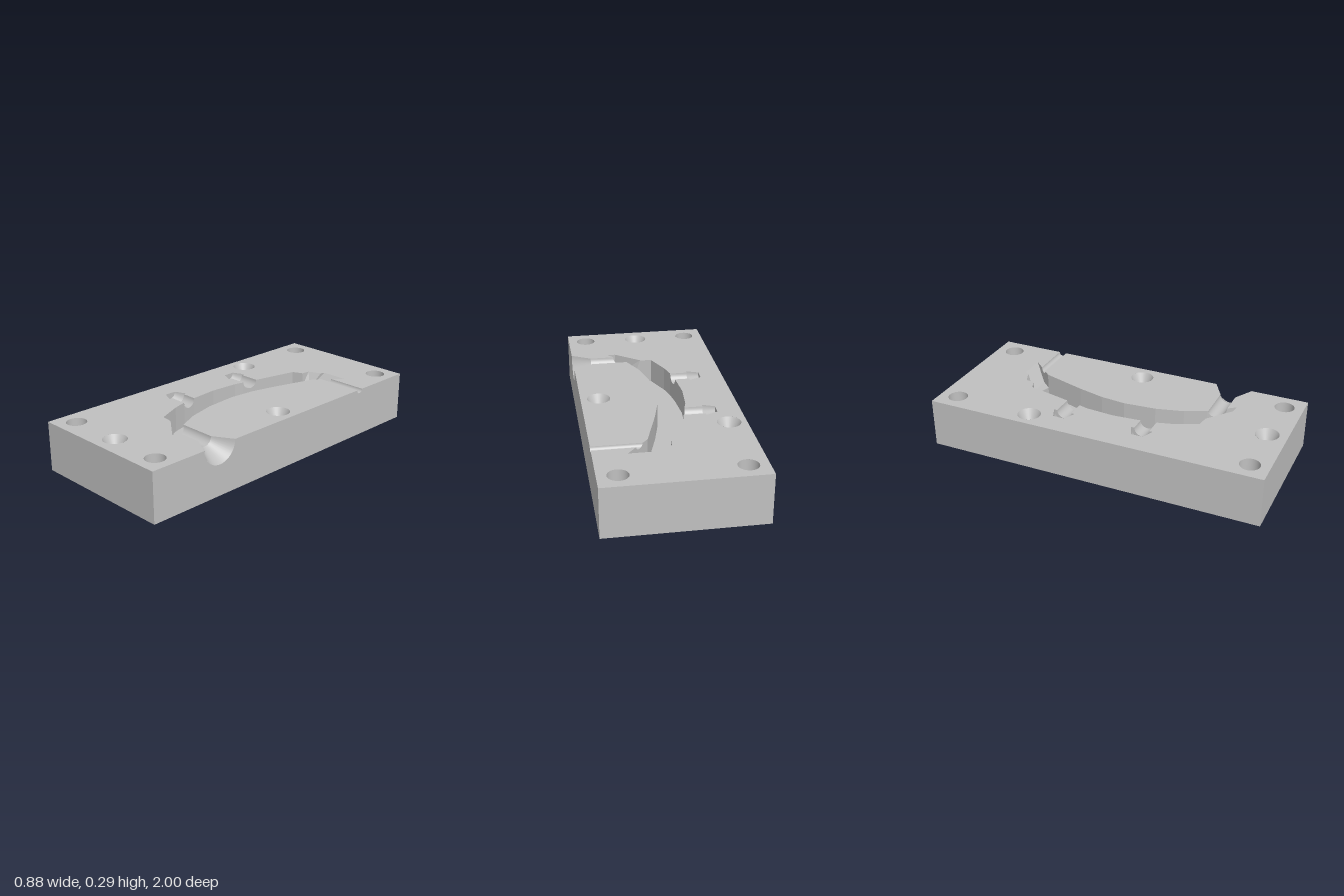
import * as THREE from 'three';

const H = 0.29, FLOOR = 0.145, SHELF = 0.2, W = 0.44;

export function createModel() {
  const group = new THREE.Group();
  const gray = new THREE.MeshStandardMaterial({ color: 0xc0c0c0, side: THREE.DoubleSide });
  gray.name = 'plain gray';

  const add = (geometry, name) => {
    const mesh = new THREE.Mesh(geometry, gray);
    mesh.name = name;
    group.add(mesh);
    return mesh;
  };

  // Horizontal plate from an [x, z] outline, with round holes [x, z, r]
  const plate = (name, outline, y, holes = [], up = true) => {
    const s = up ? -1 : 1;
    const shape = new THREE.Shape(outline.map(([x, z]) => new THREE.Vector2(x, s * z)));
    for (const [x, z, r] of holes) {
      shape.holes.push(new THREE.Path().absarc(x, s * z, r, 0, Math.PI * 2, true));
    }
    const geo = new THREE.ShapeGeometry(shape, 32);
    geo.rotateX(s * Math.PI / 2).translate(0, y, 0);
    add(geo, name);
  };

  // Vertical wall from a to b; notches [z, r] are half-round cuts in its top edge
  const wall = (name, a, b, y0, y1, notches = []) => {
    const dx = b[0] - a[0], dz = b[1] - a[1], len = Math.hypot(dx, dz), h = y1 - y0;
    const shape = new THREE.Shape();
    shape.moveTo(0, 0);
    shape.lineTo(len, 0);
    shape.lineTo(len, h);
    for (const [z, r] of notches) {
      shape.absellipse((z - a[1]) / dz * len, h, r * len / Math.abs(dz), r, 0, -Math.PI, true);
    }
    shape.lineTo(0, h);
    const mesh = add(new THREE.ShapeGeometry(shape, 20), name);
    mesh.position.set(a[0], y0, a[1]);
    mesh.rotation.y = -Math.atan2(dz, dx);
  };
  const walls = (name, pts, y0, notchAt = {}) => {
    for (let i = 0; i < pts.length - 1; i++) wall(name, pts[i], pts[i + 1], y0, H, notchAt[i]);
  };

  // Sloped polygon given as a fan of [x, y, z] corners
  const slope = (name, ...corners) => {
    const geo = new THREE.BufferGeometry();
    const tris = [];
    for (let i = 1; i < corners.length - 1; i++) tris.push(...corners[0], ...corners[i], ...corners[i + 1]);
    geo.setAttribute('position', new THREE.Float32BufferAttribute(tris, 3));
    geo.computeVertexNormals();
    add(geo, name);
  };

  // Half-round trough along x; sections are [x, radius, slant of the end]
  const trough = (name, zc, sections) => {
    const N = 20;
    for (let s = 0; s < sections.length - 1; s++) {
      const pos = [], idx = [];
      for (const [x, r, slant = 0] of [sections[s], sections[s + 1]]) {
        for (let j = 0; j <= N; j++) {
          const t = Math.PI * j / N;
          pos.push(x + slant * Math.cos(t), H - r * Math.sin(t), zc + r * Math.cos(t));
        }
      }
      for (let j = 0; j < N; j++) {
        const k = j + N + 1;
        idx.push(j, k, j + 1, k, k + 1, j + 1);
      }
      const geo = new THREE.BufferGeometry();
      geo.setAttribute('position', new THREE.Float32BufferAttribute(pos, 3));
      geo.setIndex(idx);
      geo.computeVertexNormals();
      add(geo, name);
    }
  };

  // Outlines of the curved cavity, as [x, z]
  const leftCurve = [[-0.05, 0.51], [-0.11, 0.37], [-0.133, 0.285], [-0.147, 0.195], [-0.16, 0.03],
    [-0.147, -0.14], [-0.132, -0.195], [-0.111, -0.285], [-0.1, -0.33], [-0.05, -0.55], [0.01, -0.575]];
  const rightCurve = [[0.13, -0.54], [0.05, -0.28], [0.01, -0.12], [-0.005, 0.03], [0.01, 0.22],
    [0.05, 0.38], [0.105, 0.5]];
  const backEnd = [[0.015, -0.625], [0.09, -0.655], [0.1, -0.68], [0.255, -0.68]];
  const frontEnd = [[0.217, 0.64], [0.165, 0.635]];
  const pinOutline = zc => [[-0.235, 0.045], [-0.235, 0.065], [-0.305, 0.035], [-0.305, -0.035],
    [-0.235, -0.065], [-0.235, -0.045]].map(([x, z]) => [x, zc + z]);

  const bolts = [[-0.33, -0.89], [0.33, -0.89], [-0.33, 0.89], [0.33, 0.89]].map(p => [...p, 0.057]);
  const dimples = [[-0.34, -0.41], [0, 0.885], [0.335, 0]].map(p => [...p, 0.067]);

  // Block: bottom, sides and the two parts of the top face
  plate('bottomFace', [[-W, -1], [W, -1], [W, 1], [-W, 1]], 0, bolts, false);
  wall('frontSide', [-W, 1], [W, 1], 0, H);
  wall('backSide', [W, -1], [-W, -1], 0, H);
  wall('rightSide', [-W, -1], [-W, 1], 0, H);
  wall('leftSide', [W, 1], [W, -1], 0, H, [[-0.598, 0.0225], [0.55, 0.11]]);
  plate('outerTop', [
    [W, -1], [-W, -1], [-W, 1], [W, 1], [W, 0.66], [0.325, 0.595], [0.181, 0.595],
    ...frontEnd, [0.02, 0.52],
    ...leftCurve.slice(0, 3), ...pinOutline(0.24),
    ...leftCurve.slice(3, 7), ...pinOutline(-0.24), ...leftCurve.slice(7),
    ...backEnd, [0.2025, -0.6205], [W, -0.6205],
  ], H, [...bolts, ...dimples.slice(0, 2)]);
  plate('innerTop', [
    [W, 0.44], [0.325, 0.505], [0.109, 0.505], ...[...rightCurve].reverse(),
    [0.1615, -0.5755], [W, -0.5755],
  ], H, [dimples[2]]);

  // Cavity floor and walls
  plate('cavityFloor', [...leftCurve, ...rightCurve, ...frontEnd, [0.07, 0.525], [0.02, 0.52]], FLOOR);
  walls('cavityOuterWall', [[0.02, 0.52], ...leftCurve], FLOOR, { 3: [[0.24, 0.045]], 7: [[-0.24, 0.045]] });
  walls('cavityInnerWall', [...rightCurve, frontEnd[0]], FLOOR, { 6: [[0.55, 0.045]] });

  // Front end of the cavity
  wall('frontEndWall', ...frontEnd, FLOOR, H);
  slope('frontEndSlope', [0.02, H, 0.52], [0.165, H, 0.635], [0.165, FLOOR, 0.635], [0.07, FLOOR, 0.525]);
  slope('frontEndCheek', [0.02, H, 0.52], [0.07, FLOOR, 0.525], [0.02, FLOOR, 0.52]);

  // Back end of the cavity: raised shelf with sloping sides
  plate('backShelf', [[0.01, -0.575], [0.05, -0.6], [0.184, -0.6], [0.13, -0.54]], SHELF);
  wall('backStep', [0.01, -0.575], [0.13, -0.54], FLOOR, SHELF);
  wall('backEndWall', [0.255, -0.68], [0.13, -0.54], SHELF, H, [[-0.598, 0.0225]]);
  slope('backSlope', [0.1, H, -0.68], [0.05, SHELF, -0.6], [0.184, SHELF, -0.6], [0.255, H, -0.68]);
  slope('backCorner', [0.09, H, -0.655], [0.05, SHELF, -0.6], [0.1, H, -0.68]);
  slope('backCheek', [0.015, H, -0.625], [0.01, SHELF, -0.575], [0.05, SHELF, -0.6], [0.09, H, -0.655]);
  slope('backCheekEdge', [0.01, H, -0.575], [0.01, SHELF, -0.575], [0.015, H, -0.625]);

  // Pouring funnel, vent and two barbed pin recesses
  trough('pouringFunnel', 0.55, [[0.145, 0.045, 0.036], [0.325, 0.045], [W, 0.11]]);
  trough('ventChannel', -0.598, [[0.182, 0.0225, -0.0205], [W, 0.0225]]);
  for (const [z, x, slant] of [[0.24, -0.14, 0.007], [-0.24, -0.1215, -0.0105]]) {
    trough('pinRecess', z, [[-0.305, 0], [-0.305, 0.035], [-0.235, 0.065], [-0.235, 0.045], [x, 0.045, slant]]);
  }

  // Bolt holes through the block
  for (const [x, z, r] of bolts) {
    add(new THREE.CylinderGeometry(r, r, H, 32, 1, true), 'boltHole').position.set(x, H / 2, z);
  }

  // Tapered locating dimples
  const depth = 0.06;
  for (const [x, z, r] of dimples) {
    add(new THREE.CylinderGeometry(r, 0.037, depth, 32, 1, true), 'dimpleWall').position.set(x, H - depth / 2, z);
    const base = add(new THREE.CircleGeometry(0.037, 32), 'dimpleFloor');
    base.rotation.x = -Math.PI / 2;
    base.position.set(x, H - depth, z);
  }
  return group;
}
